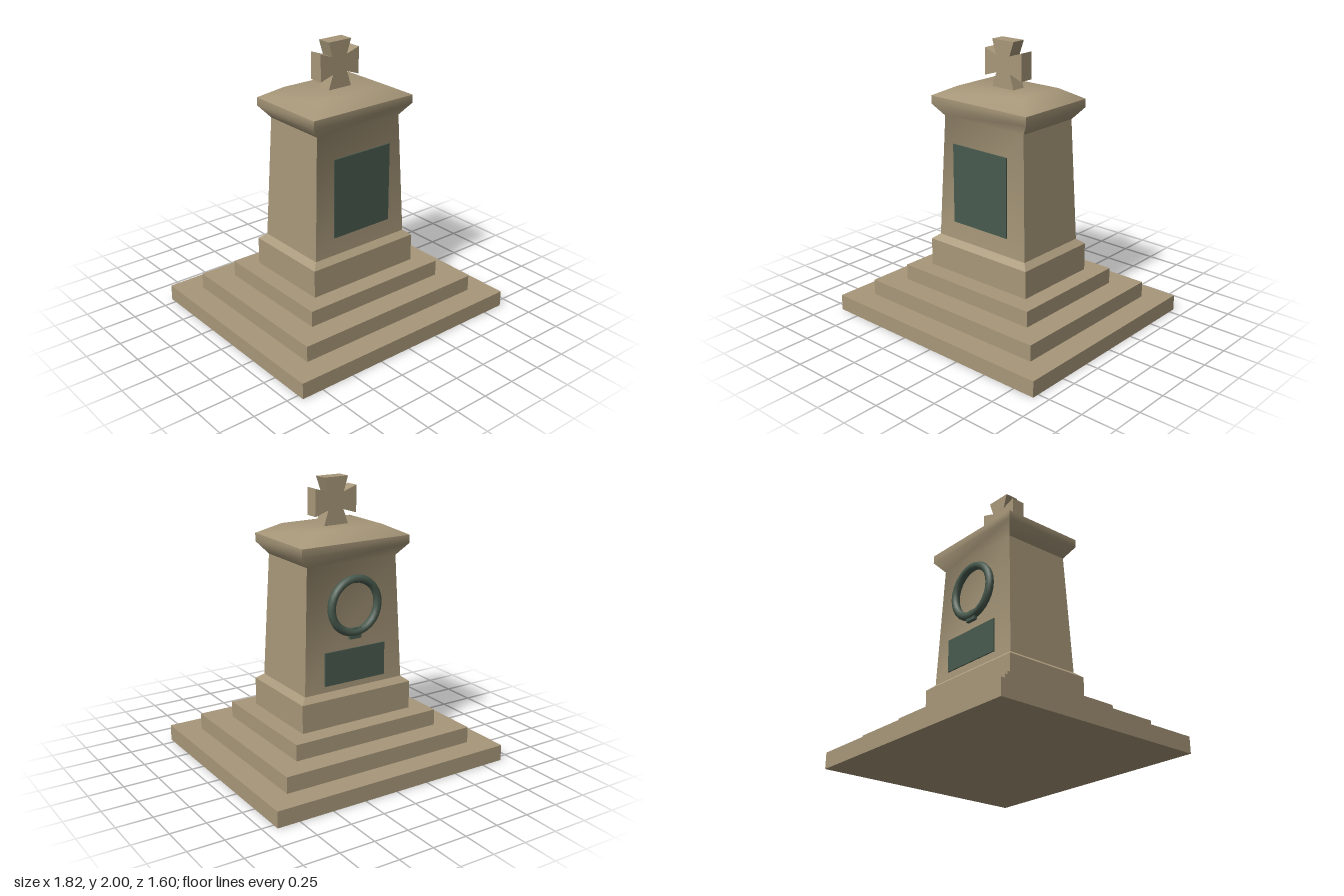
import * as THREE from 'three';
import { toCreasedNormals } from 'three/addons/utils/BufferGeometryUtils.js';

const stone = new THREE.MeshStandardMaterial({ color: 0xa8987a });
stone.name = 'stone';
const bronze = new THREE.MeshStandardMaterial({ color: 0x485a4e });
bronze.name = 'bronze';

function addMesh(group, name, geometry, material, x = 0, y = 0, z = 0) {
  const mesh = new THREE.Mesh(geometry, material);
  mesh.name = name;
  mesh.position.set(x, y, z);
  group.add(mesh);
  return mesh;
}

// Closed stack of rectangles, each given as [height, half width, half depth]
function rectangleLoft(sections) {
  const positions = [];
  const index = [];
  for (const [y, hx, hz] of sections) {
    positions.push(-hx, y, hz, hx, y, hz, hx, y, -hz, -hx, y, -hz);
  }
  for (let s = 0; s < sections.length - 1; s++) {
    for (let i = 0; i < 4; i++) {
      const a = s * 4 + i;
      const b = s * 4 + (i + 1) % 4;
      index.push(a, b, b + 4, a, b + 4, a + 4);
    }
  }
  const t = (sections.length - 1) * 4;
  index.push(0, 2, 1, 0, 3, 2, t, t + 1, t + 2, t, t + 2, t + 3);
  const geometry = new THREE.BufferGeometry();
  geometry.setAttribute('position', new THREE.Float32BufferAttribute(positions, 3));
  geometry.setIndex(index);
  return toCreasedNormals(geometry, THREE.MathUtils.degToRad(41));
}

export function createModel() {
  const model = new THREE.Group();
  model.name = 'monument';

  // Three steps
  const stepHeight = 0.115;
  [[0.912, 0.8], [0.743, 0.628], [0.57, 0.459]].forEach(([hx, hz], i) => {
    addMesh(model, `step${i + 1}`, new THREE.BoxGeometry(hx * 2, stepHeight, hz * 2),
      stone, 0, stepHeight * (i + 0.5), 0);
  });

  // Pedestal, tapering shaft and flared cap
  addMesh(model, 'pedestalAndShaft', rectangleLoft([
    [0.345, 0.442, 0.326],
    [0.545, 0.442, 0.326],
    [0.582, 0.395, 0.281],
    [1.46, 0.355, 0.251],
    [1.545, 0.426, 0.311],
    [1.603, 0.426, 0.311],
    [1.674, 0.28, 0.2],
  ]), stone);

  // Cross with flared arms: one arm outline turned four times
  const outline = [];
  for (let i = 0; i < 4; i++) {
    const turn = -i * Math.PI / 2;
    const length = 0.163;
    for (const [x, y] of [[-0.095, length], [0.095, length], [0.059, 0.062]]) {
      outline.push(new THREE.Vector2(x, y).rotateAround(new THREE.Vector2(), turn));
    }
  }
  const crossGeometry = new THREE.ExtrudeGeometry(new THREE.Shape(outline),
    { depth: 0.104, bevelEnabled: false });
  crossGeometry.translate(0, 0, -0.052);
  addMesh(model, 'cross', crossGeometry, stone, 0, 1.837, 0);

  // Plaques on the front and back
  addMesh(model, 'frontPlaque', new THREE.BoxGeometry(0.484, 0.57, 0.009), bronze, 0, 1.003, 0.289);
  addMesh(model, 'backPlaque', new THREE.BoxGeometry(0.484, 0.236, 0.009), bronze, 0, 0.748, -0.29);

  // Wreath with a small knot at its foot
  const wreath = new THREE.Group();
  wreath.name = 'wreath';
  wreath.position.set(0, 1.162, -0.284);
  addMesh(wreath, 'wreathRing', new THREE.TorusGeometry(0.186, 0.029, 8, 28), bronze);
  addMesh(wreath, 'wreathKnot', new THREE.BoxGeometry(0.09, 0.075, 0.025), bronze, 0, -0.192, -0.004);
  model.add(wreath);

  return model;
}
